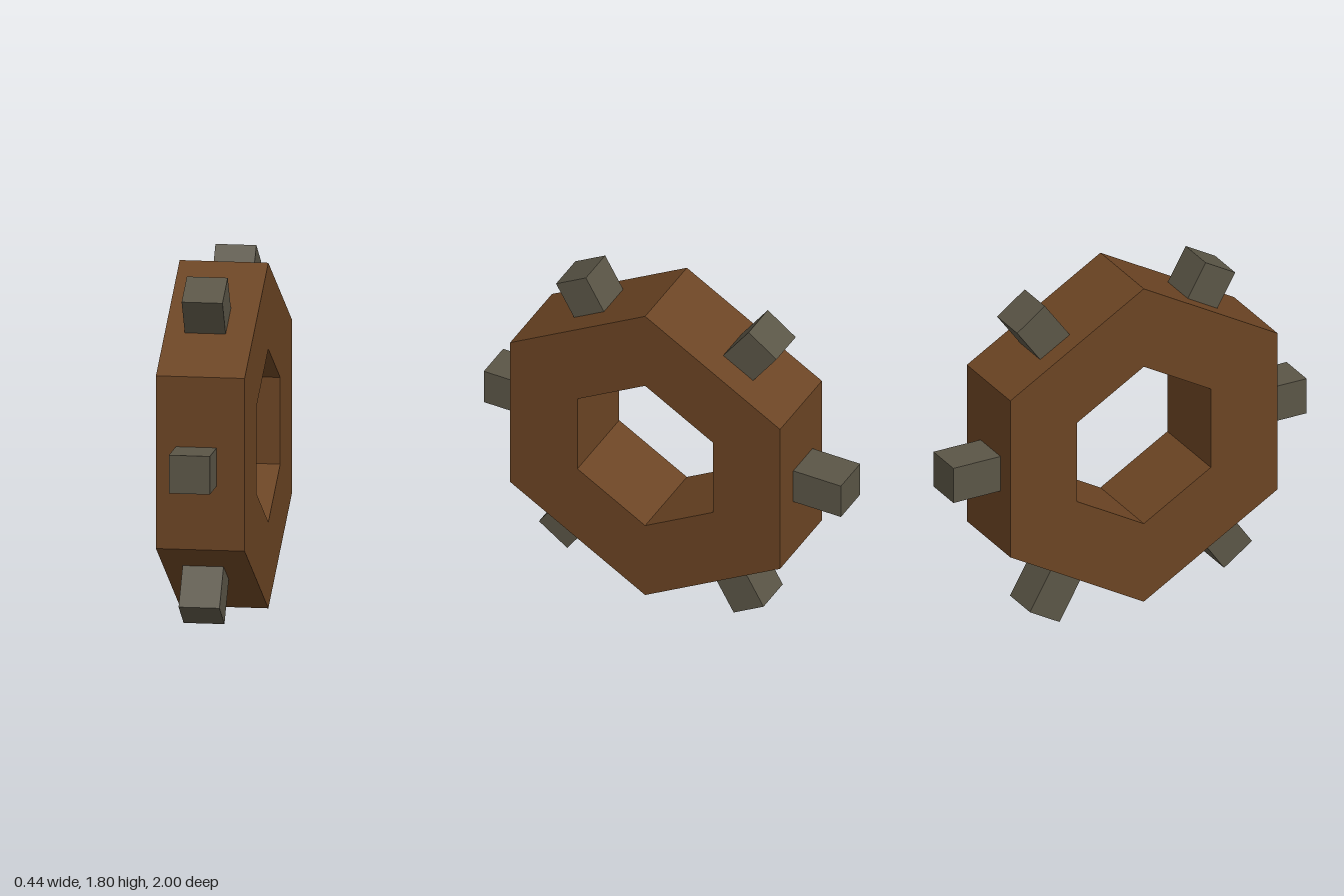
import * as THREE from 'three';

const wood = new THREE.MeshStandardMaterial({ color: 0x6b4423 });
wood.name = 'brown wood';
const stone = new THREE.MeshStandardMaterial({ color: 0x5a5546 });
stone.name = 'grey teeth';

const CENTRE_Y = 0.933, CENTRE_Z = 0.023;

// Corners of a hexagon with a point at the top
function hexagon(radius) {
  return Array.from({ length: 6 }, (_, i) => {
    const a = Math.PI / 2 + (i * Math.PI) / 3;
    return new THREE.Vector2(radius * Math.cos(a), radius * Math.sin(a));
  });
}

export function createModel() {
  const model = new THREE.Group();
  model.name = 'toothedWheel';

  // Hexagonal ring, its axis along x
  const width = 0.445;
  const shape = new THREE.Shape(hexagon(0.873));
  shape.holes.push(new THREE.Path(hexagon(0.438)));
  const ringGeometry = new THREE.ExtrudeGeometry(shape, { depth: width, bevelEnabled: false });
  ringGeometry.translate(0, 0, -width / 2).rotateY(Math.PI / 2);
  const ring = new THREE.Mesh(ringGeometry, wood);
  ring.name = 'hexagonRing';
  ring.position.set(-0.002, CENTRE_Y, CENTRE_Z);
  model.add(ring);

  // Teeth: middle of the outer end (z, y) and lean from upright in degrees
  const length = 0.4;
  const toothGeometry = new THREE.BoxGeometry(0.205, length, 0.193);
  toothGeometry.translate(0, -length / 2, 0);
  const teeth = [
    ['frontTooth', 1.0, 0.918, 90],
    ['upperFrontTooth', 0.512, 1.757, 30],
    ['upperBackTooth', -0.561, 1.735, -36],
    ['backTooth', -1.0, 0.918, -90],
    ['lowerBackTooth', -0.483, 0.055, -150],
    ['lowerFrontTooth', 0.612, 0.131, 145],
  ];
  for (const [name, z, y, lean] of teeth) {
    const tooth = new THREE.Mesh(toothGeometry, stone);
    tooth.name = name;
    tooth.position.set(-0.022, y, z);
    tooth.rotation.x = THREE.MathUtils.degToRad(lean);
    model.add(tooth);
  }
  return model;
}
